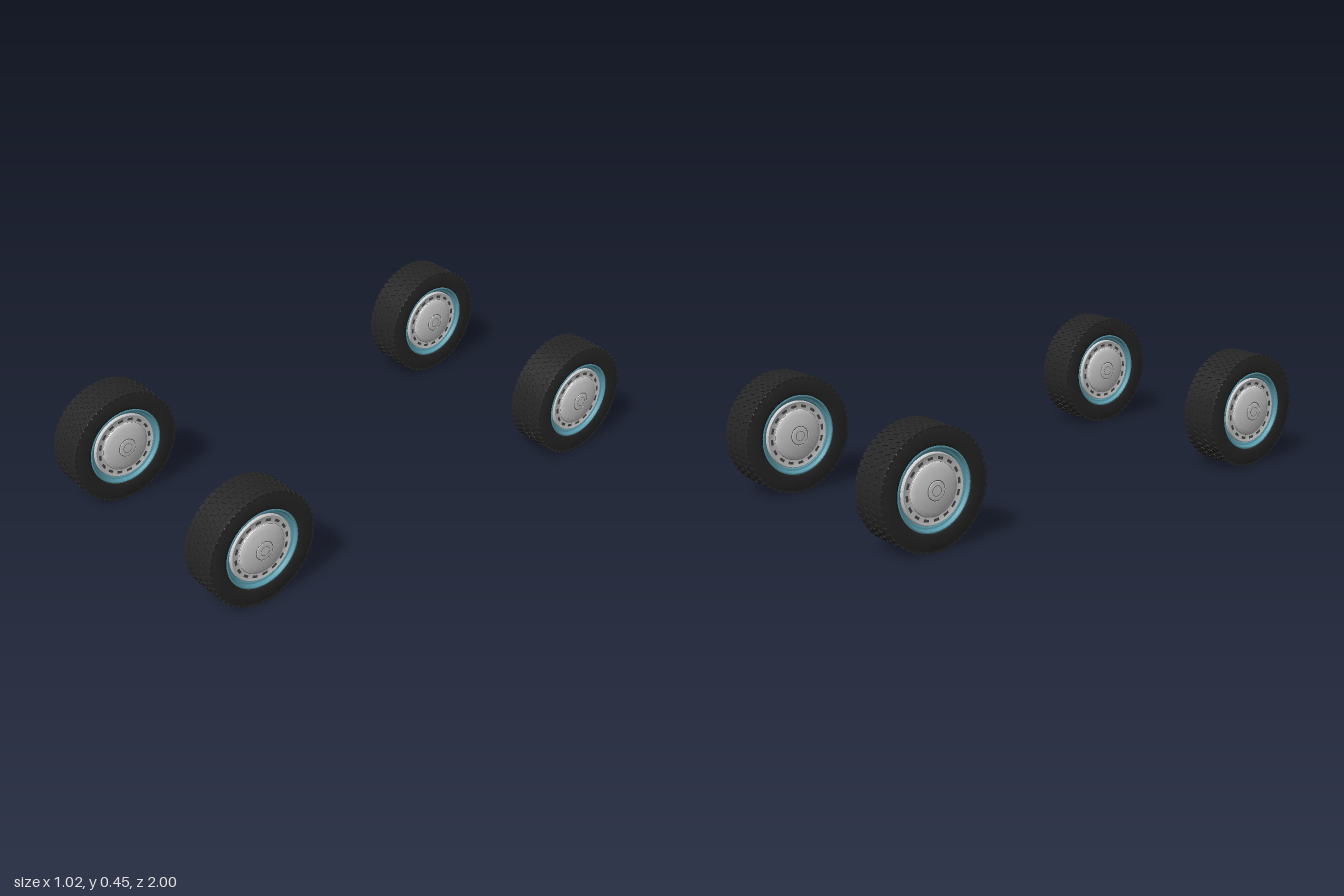
import * as THREE from 'three';
import { mergeGeometries, toCreasedNormals } from 'three/addons/utils/BufferGeometryUtils.js';

const RADIUS = 0.2235;
const HALF_WIDTH = 0.075;

const mat = (name, color) => Object.assign(new THREE.MeshStandardMaterial({ color }), { name });

// Revolve [radius, offset] points around the x axle
function revolve(points, segments = 64) {
  const g = new THREE.LatheGeometry(points.map(([r, a]) => new THREE.Vector2(r, a)), segments);
  g.rotateZ(-Math.PI / 2);
  return toCreasedNormals(g, 0.5);
}

// Flat ring, or part of one, facing +x
function plate(inner, outer, x, start = 0, length = Math.PI * 2) {
  const segments = length > 6 ? 48 : 4;
  const g = new THREE.RingGeometry(inner, outer, segments, 1, start, length);
  g.rotateY(Math.PI / 2);
  g.translate(x, 0, 0);
  return g;
}

// Staggered rows of slanted tread blocks around the tyre
function treadGeometry() {
  const blocks = [];
  const rows = 7, count = 52;
  const pitch = HALF_WIDTH * 2 / rows;
  for (let row = 0; row < rows; row++) {
    const x = (row - (rows - 1) / 2) * pitch;
    const edge = row === 0 || row === rows - 1;
    for (let i = 0; i < count; i++) {
      const block = new THREE.BoxGeometry(pitch * (edge ? 0.96 : 1.02), 0.008, 0.021);
      if (!edge) block.rotateY(row % 2 ? 0.35 : -0.35);
      block.translate(x, RADIUS - 0.0043, 0);
      block.rotateX((i + (row % 2) * 0.5) / count * Math.PI * 2);
      blocks.push(block);
    }
  }
  return mergeGeometries(blocks);
}

export function createModel() {
  const rubber = mat('black rubber', 0x262626);
  const paint = mat('blue rim paint', 0x5a9cad);
  const silver = mat('silver hubcap', 0xcdcdcd);
  const shade = mat('dark grooves', 0x4c4c4c);

  const add = (parent, name, geometry, material) => {
    const mesh = new THREE.Mesh(geometry, material);
    mesh.name = name;
    parent.add(mesh);
  };

  // Tyre: one half of the section, mirrored across the centre
  const half = [[0.146, 0.058], [0.15, 0.069], [0.157, 0.073], [0.168, 0.0742],
    [0.211, 0.0748], [0.217, 0.0725], [0.2195, 0.069]];
  const section = [...half.map(([r, a]) => [r, -a]), ...half.slice().reverse()];
  const tyre = revolve(section, 80);
  const tread = treadGeometry();

  // Painted rim lip and well
  const rim = revolve([[0.154, 0.066], [0.153, 0.0725], [0.148, 0.0735], [0.145, 0.071],
    [0.141, 0.061], [0.134, 0.059], [0.129, 0.053], [0.118, 0.051]]);

  // Domed cap with a flat vented band around it
  const cap = revolve([[0.129, 0.052], [0.128, 0.0635], [0.125, 0.0655], [0.121, 0.064],
    [0.098, 0.064], [0.095, 0.07], [0.091, 0.0725], [0.078, 0.0755], [0.06, 0.0795],
    [0.038, 0.082], [0.035, 0.0805], [0.033, 0.0835], [0.018, 0.0845], [0, 0.0845]]);

  // Dark vents and pressed lines
  const vents = [];
  for (let i = 0; i < 16; i++) {
    vents.push(plate(0.105, 0.115, 0.0645, i / 16 * Math.PI * 2, 0.2));
  }
  const ventGeometry = mergeGeometries(vents);
  const lines = mergeGeometries([
    plate(0.0955, 0.0975, 0.0665),
    plate(0.0345, 0.0365, 0.0822),
    plate(0.0175, 0.019, 0.0848),
  ]);

  function makeWheel(name) {
    const wheel = new THREE.Group();
    wheel.name = name;
    add(wheel, 'tyre', tyre, rubber);
    add(wheel, 'tread', tread, rubber);
    // Both faces carry the same rim and cap
    for (const [faceName, turn] of [['leftFace', 0], ['rightFace', Math.PI]]) {
      const face = new THREE.Group();
      face.name = faceName;
      face.rotation.y = turn;
      add(face, 'rim', rim, paint);
      add(face, 'hubcap', cap, silver);
      add(face, 'vents', ventGeometry, shade);
      add(face, 'capLines', lines, shade);
      wheel.add(face);
    }
    return wheel;
  }

  const model = new THREE.Group();
  model.name = 'wheelSet';
  for (const [endName, z] of [['front', 1], ['rear', -1]]) {
    for (const [sideName, x] of [['Left', 1], ['Right', -1]]) {
      const wheel = makeWheel(`${endName}${sideName}Wheel`);
      wheel.position.set(x * 0.424, RADIUS, z * (1 - RADIUS));
      model.add(wheel);
    }
  }
  return model;
}
